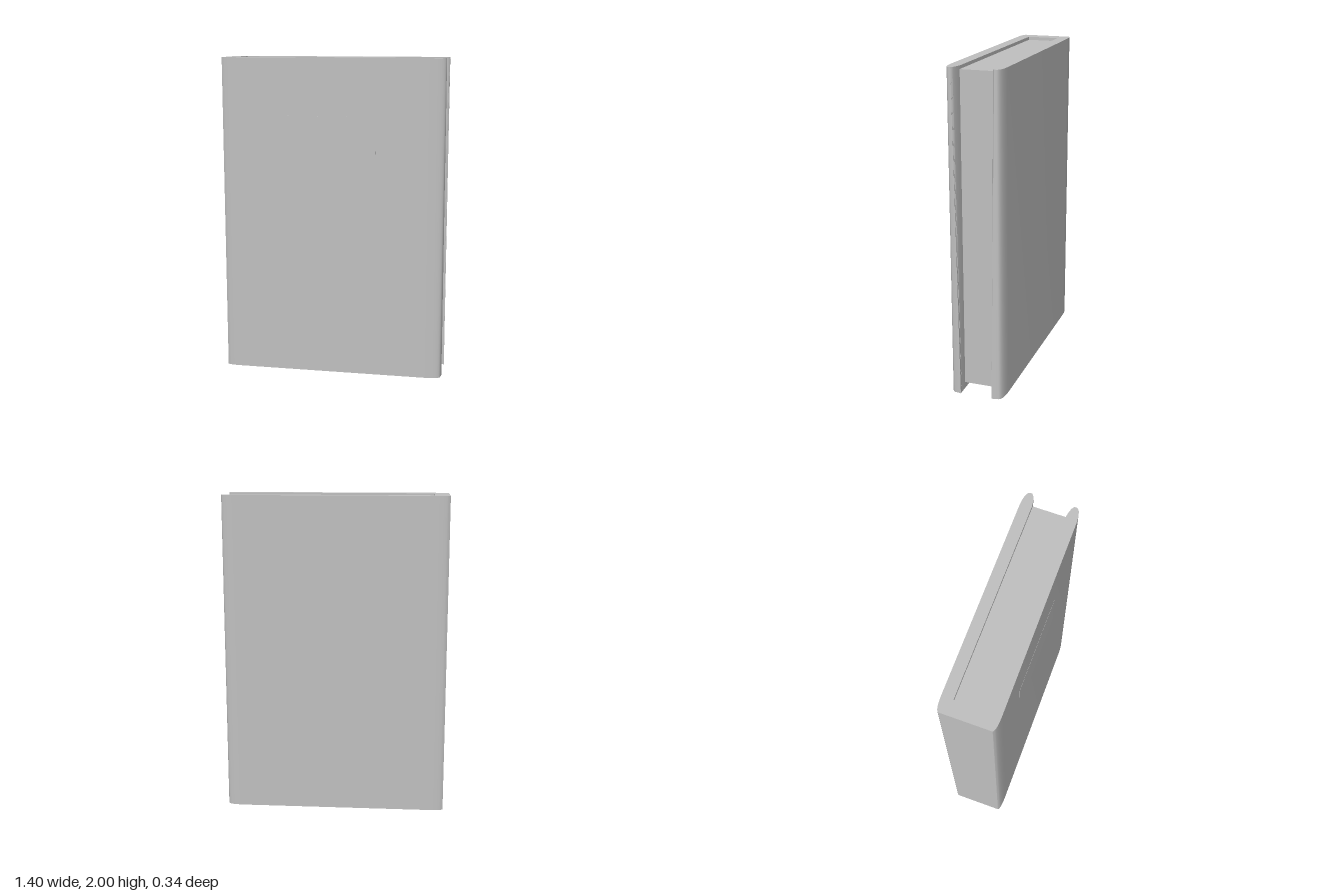
import * as THREE from 'three';
import { toCreasedNormals } from 'three/addons/utils/BufferGeometryUtils.js';

const OUT = 0.17, IN = 0.1; // outer and inner half thickness of the case

export function createModel() {
  const group = new THREE.Group();
  const grey = new THREE.MeshStandardMaterial({ color: 0xc0c0c0 });
  grey.name = 'grey';

  function add(name, geometry, x = 0, y = 0, z = 0) {
    const mesh = new THREE.Mesh(geometry, grey);
    mesh.name = name;
    mesh.position.set(x, y, z);
    group.add(mesh);
  }

  // Cover: C-shaped cross-section, spine at -x, rounded lips at +x
  const s = new THREE.Shape();
  s.moveTo(-0.6, -OUT);
  s.lineTo(0.59, -OUT);
  s.quadraticCurveTo(0.685, -0.168, 0.692, -0.14);
  s.lineTo(0.692, -0.128);
  s.quadraticCurveTo(0.68, -0.108, 0.61, -IN);
  s.lineTo(-0.61, -IN);
  s.lineTo(-0.61, IN);
  s.lineTo(0.61, IN);
  s.quadraticCurveTo(0.68, 0.108, 0.692, 0.128);
  s.lineTo(0.692, 0.14);
  s.quadraticCurveTo(0.685, 0.168, 0.59, OUT);
  s.lineTo(-0.6, OUT);
  s.quadraticCurveTo(-0.69, OUT, -0.702, 0.152);
  s.lineTo(-0.702, -0.152);
  s.quadraticCurveTo(-0.69, -OUT, -0.6, -OUT);
  const cover = new THREE.ExtrudeGeometry(s, { depth: 2, bevelEnabled: false, curveSegments: 8 });
  cover.rotateX(-Math.PI / 2);

  // The rounded inner lips run out to a square edge at the foot
  const p = cover.attributes.position;
  for (let i = 0; i < p.count; i++) {
    const z = p.getZ(i);
    if (p.getY(i) < 1 && p.getX(i) > 0.612 && Math.abs(z) < 0.13) {
      p.setZ(i, Math.sign(z) * IN);
      if (p.getX(i) > 0.69) p.setX(i, 0.698);
    }
  }
  add('cover', toCreasedNormals(cover, 0.6));

  // Page block, slightly recessed at head and foot
  add('pages', new THREE.BoxGeometry(1.235, 1.94, 2 * IN), 0.0075, 1.01, 0);

  // Thin title plate on the front board
  add('titlePlate', new THREE.BoxGeometry(0.6, 0.3, 0.004), -0.03, 1.495, OUT - 0.001);

  return group;
}
